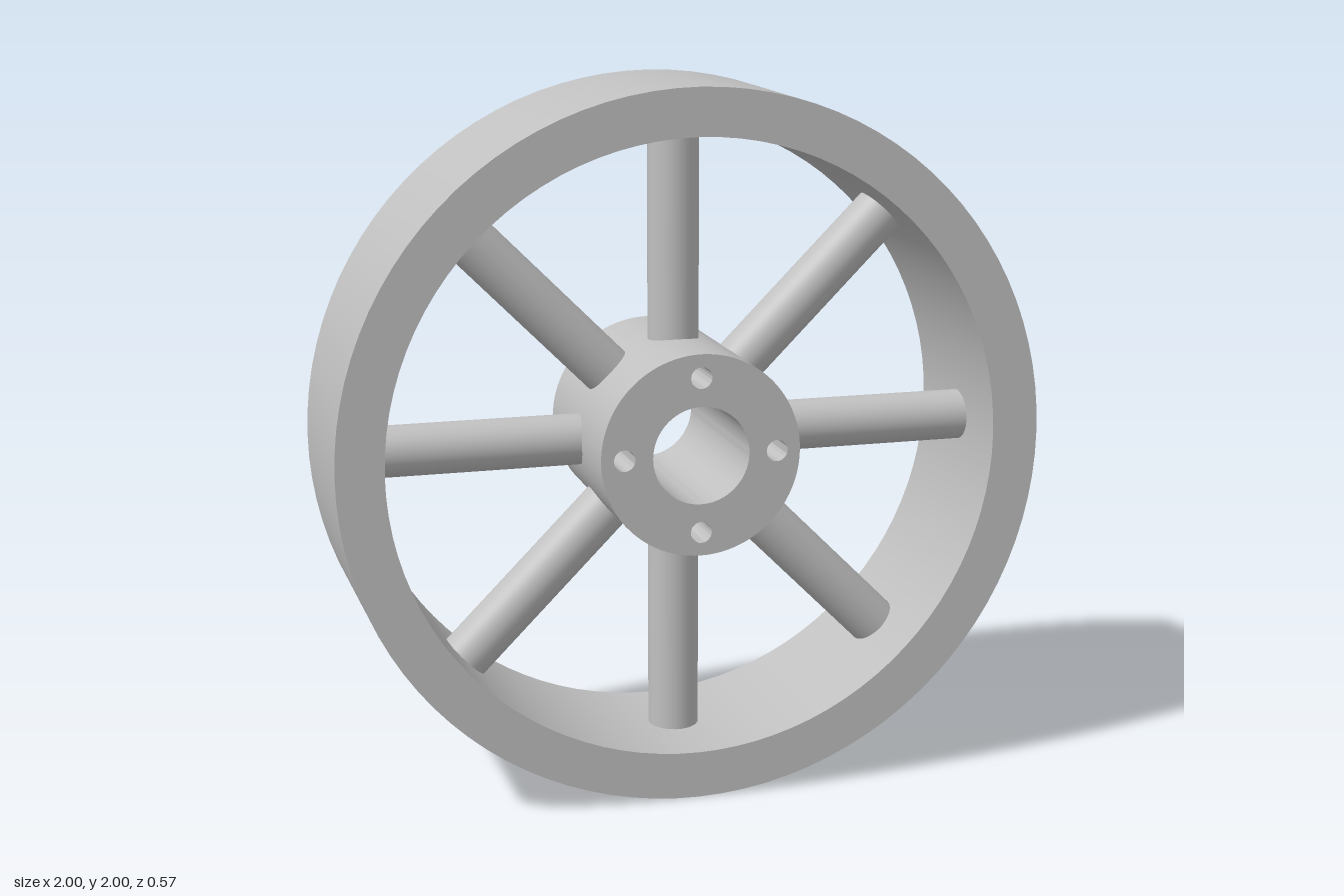
import * as THREE from 'three';
import { toCreasedNormals } from 'three/addons/utils/BufferGeometryUtils.js';

const RIM_OUTER = 1, RIM_INNER = 0.867, RIM_WIDTH = 0.53;
const HUB_RADIUS = 0.283, HUB_WIDTH = 0.57, BORE_RADIUS = 0.137;
const BOLT_RADIUS = 0.03, BOLT_CIRCLE = 0.217;
const SPOKE_RADIUS = 0.072, SPOKE_COUNT = 8;

// Round disc centred on z = 0, with circular through-holes [x, y, radius]
function drilledDisc(radius, width, holes) {
  const shape = new THREE.Shape().absarc(0, 0, radius, 0, Math.PI * 2, false);
  for (const [x, y, r] of holes) {
    shape.holes.push(new THREE.Path().absarc(x, y, r, 0, Math.PI * 2, true));
  }
  const geometry = new THREE.ExtrudeGeometry(shape, {
    depth: width, bevelEnabled: false, curveSegments: 48,
  });
  geometry.translate(0, 0, -width / 2);
  return toCreasedNormals(geometry, Math.PI / 6);
}

export function createModel() {
  const metal = new THREE.MeshStandardMaterial({ color: 0xc0c0c0 });
  metal.name = 'grey metal';

  const wheel = new THREE.Group();
  wheel.name = 'wheel';
  wheel.position.y = RIM_OUTER;

  const add = (name, geometry) => {
    const mesh = new THREE.Mesh(geometry, metal);
    mesh.name = name;
    wheel.add(mesh);
    return mesh;
  };

  // Wide plain rim
  add('rim', drilledDisc(RIM_OUTER, RIM_WIDTH, [[0, 0, RIM_INNER]]));

  // Hub with axle bore and four bolt holes
  const holes = [[0, 0, BORE_RADIUS]];
  for (let i = 0; i < 4; i++) {
    const a = i * Math.PI / 2;
    holes.push([BOLT_CIRCLE * Math.cos(a), BOLT_CIRCLE * Math.sin(a), BOLT_RADIUS]);
  }
  add('hub', drilledDisc(HUB_RADIUS, HUB_WIDTH, holes));

  // Round spokes, ends sunk slightly into hub and rim
  const start = HUB_RADIUS - 0.018, end = RIM_INNER + 0.01;
  const spoke = new THREE.CylinderGeometry(SPOKE_RADIUS, SPOKE_RADIUS, end - start, 40);
  spoke.translate(0, (start + end) / 2, 0);
  for (let i = 0; i < SPOKE_COUNT; i++) {
    add('spoke' + (i + 1), spoke).rotation.z = i * Math.PI * 2 / SPOKE_COUNT;
  }

  const model = new THREE.Group();
  model.name = 'spokedWheel';
  model.add(wheel);
  return model;
}
